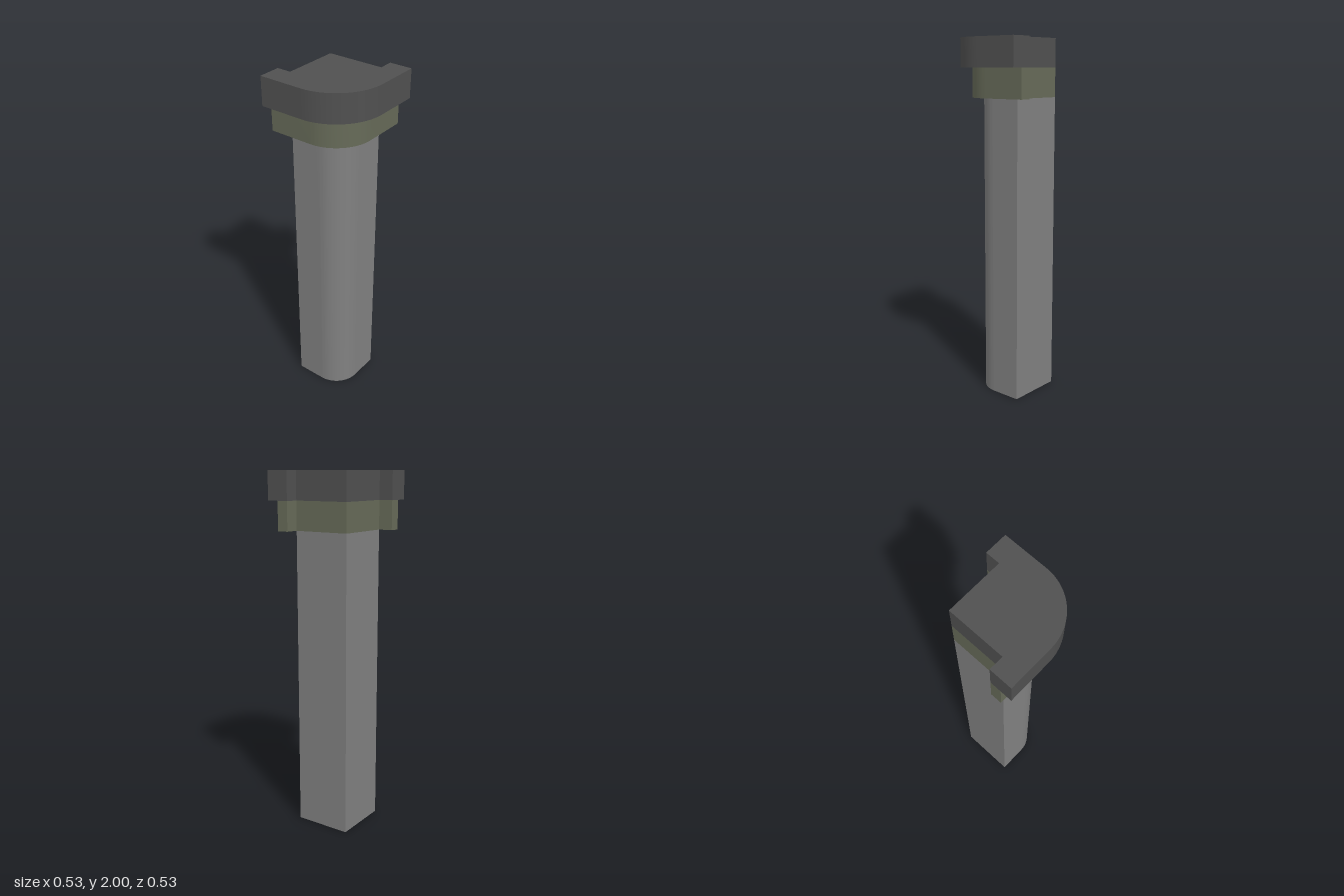
import * as THREE from 'three';
import { toCreasedNormals } from 'three/addons/utils/BufferGeometryUtils.js';

const INNER = 0.184; // inner faces of the corner post
const POST = 0.137;  // outer faces of the post
const END = 0.264;   // ends of the two side arms
const C = 0.015;     // centre of the rounded outer corner

// Plan of one layer, with shape y = -z; `outer` is the distance to its outer faces.
function plan(outer, arms) {
  const s = new THREE.Shape();
  const end = arms ? END : INNER;
  s.moveTo(-outer, end);
  s.lineTo(-outer, C);
  s.absarc(C, C, outer + C, Math.PI, Math.PI * 1.5, false);
  s.lineTo(end, -outer);
  if (arms) {
    s.lineTo(END, -POST);
    s.lineTo(INNER, -POST);
  }
  s.lineTo(INNER, INNER);
  if (arms) {
    s.lineTo(-POST, INNER);
    s.lineTo(-POST, END);
  }
  s.closePath();
  return s;
}

function layer(name, outer, arms, y0, y1, color) {
  const raw = new THREE.ExtrudeGeometry(plan(outer, arms), {
    depth: y1 - y0, bevelEnabled: false, curveSegments: 24,
  });
  raw.rotateX(-Math.PI / 2);
  raw.translate(0, y0, 0);
  const mesh = new THREE.Mesh(toCreasedNormals(raw, 0.5), new THREE.MeshStandardMaterial({ color }));
  mesh.name = name;
  return mesh;
}

export function createModel() {
  const group = new THREE.Group();
  group.name = 'cornerPillar';
  group.add(
    layer('shaft', POST, false, 0, 1.683, 0x808080),
    layer('collar', 0.2, true, 1.683, 1.842, 0x666a58),
    layer('cap', END, true, 1.842, 2, 0x505050),
  );
  return group;
}
